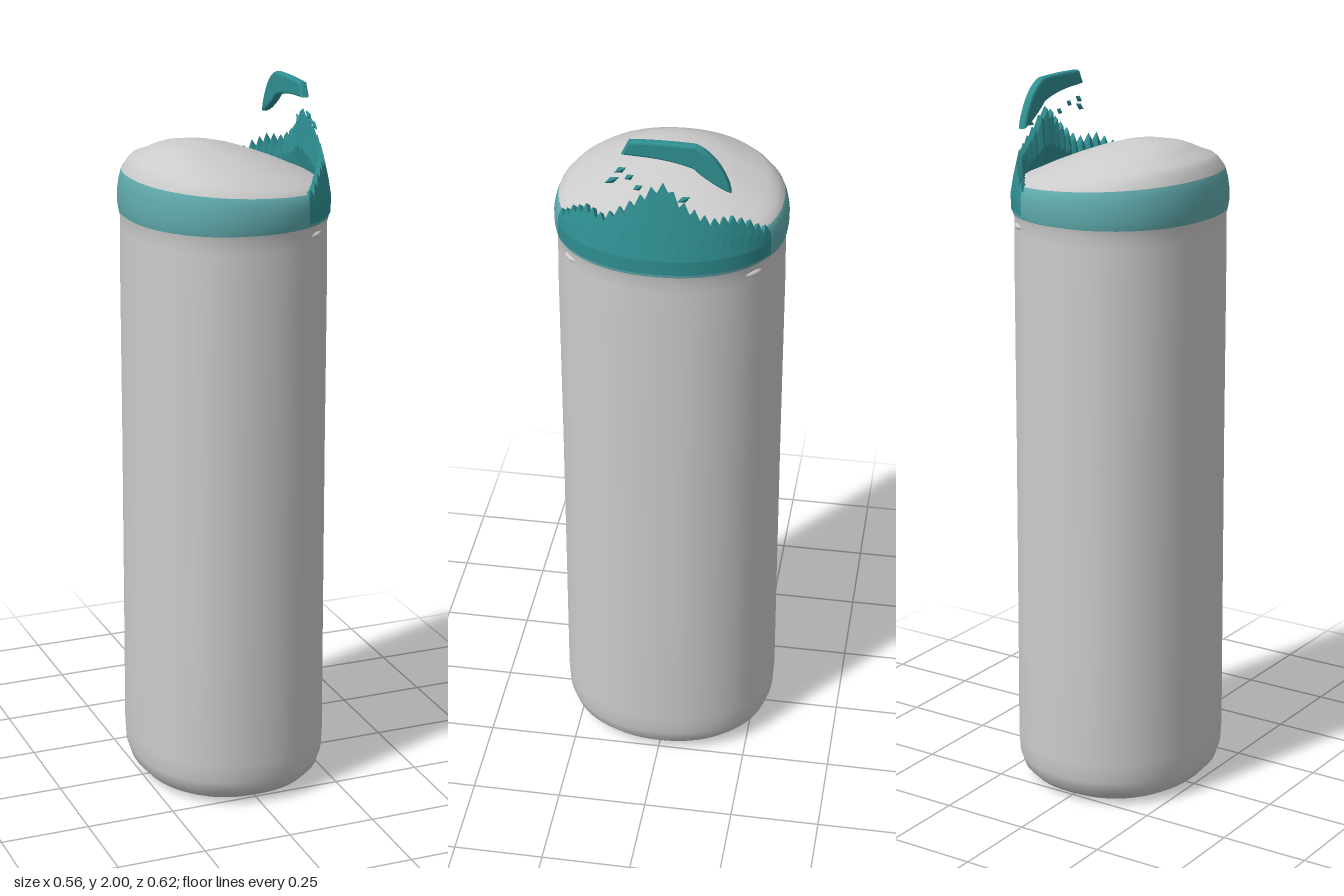
import * as THREE from 'three';

const RX = 0.28, RZ = 0.31, SEG = 64;
const grey = () => new THREE.MeshStandardMaterial({ color: 0xcccccc });
const tint = (color, extra = {}) => new THREE.MeshStandardMaterial({ color, ...extra });

// Point on the slightly squared oval cross-section
function oval(a, s, y, cx = 0, tilt = 0) {
  const p = 2 / 2.15, c = Math.cos(a), n = Math.sin(a);
  const x = cx + RX * s * Math.sign(c) * Math.abs(c) ** p;
  return [x, y - tilt * x, RZ * s * Math.sign(n) * Math.abs(n) ** p];
}

// Grid of rows x columns turned into a surface
function gridGeometry(rows, cols, closed, point) {
  const pos = [], idx = [];
  for (let r = 0; r < rows; r++) for (let c = 0; c < cols; c++) pos.push(...point(r, c));
  for (let r = 0; r < rows - 1; r++) {
    for (let c = 0; c < (closed ? cols : cols - 1); c++) {
      const a = r * cols + c, b = r * cols + (c + 1) % cols;
      idx.push(a, a + cols, b, b, a + cols, b + cols);
    }
  }
  const g = new THREE.BufferGeometry();
  g.setAttribute('position', new THREE.Float32BufferAttribute(pos, 3));
  g.setIndex(idx);
  g.computeVertexNormals();
  return g;
}

export function createModel() {
  const group = new THREE.Group();
  const add = (name, geometry, material) => {
    const m = new THREE.Mesh(geometry, material);
    m.name = name;
    group.add(m);
    return m;
  };

  // Bottle rings: scale, height, x offset, tilt toward +x
  const rings = [
    [0, 0.02], [0.66, 0.02], [0.7, 0.005], [0.77, 0], [0.86, 0.015], [0.94, 0.04], [0.98, 0.075],
    [0.99, 0.13], [0.985, 0.5], [0.98, 1.0], [0.98, 1.5], [0.975, 1.6], [0.975, 1.63],
    [0.99, 1.65], [1, 1.67], [1, 1.7], [0.985, 1.725, 0, 0.03], [0.96, 1.745, 0, 0.06],
    [0.9, 1.763, 0, 0.1], [0.82, 1.776, -0.01, 0.11], [0.7, 1.79, -0.02, 0.1],
    [0.55, 1.808, -0.04, 0.09], [0.4, 1.824, -0.06, 0.07], [0.22, 1.838, -0.075, 0.04],
    [0.1, 1.845, -0.08, 0], [0, 1.847, -0.08, 0],
  ];
  const bottle = gridGeometry(rings.length, SEG, true,
    (r, c) => oval(c / SEG * Math.PI * 2, ...rings[r]));
  const slice = (from, to) => {
    const g = bottle.clone();
    g.setIndex(Array.from(bottle.index.array.slice(from * SEG * 6, to * SEG * 6)));
    return g;
  };
  add('body', slice(0, 13), grey());
  add('shoulderBand', slice(13, 17), tint(0x5fa9ab));
  add('domedLid', slice(17, rings.length - 1), grey());

  // Ragged collar rising on the +x side: outer wall, torn rim, inner wall
  const zs = [-0.27, -0.24, -0.2, -0.15, -0.11, -0.06, -0.03, 0.01, 0.05, 0.1, 0.15, 0.2, 0.24, 0.27];
  const hs = [1.74, 1.775, 1.8, 1.8, 1.825, 1.86, 1.9, 1.89, 1.86, 1.825, 1.79, 1.8, 1.775, 1.74];
  const height = z => {
    let i = 0;
    while (i < zs.length - 2 && z > zs[i + 1]) i++;
    const t = THREE.MathUtils.clamp((z - zs[i]) / (zs[i + 1] - zs[i]), 0, 1);
    return THREE.MathUtils.lerp(hs[i], hs[i + 1], t);
  };
  const COLS = 49;
  const collar = gridGeometry(7, COLS, false, (r, c) => {
    const a = (c / (COLS - 1) - 0.5) * 2.2;
    const top = height(oval(a, 1, 0)[2]) + (c % 2 ? 0.012 : -0.012);
    const lean = 1 - (top - 1.72) * 0.75;
    const profile = [
      [1.004, 1.66], [1.008, 1.7], [(1.01 + lean) / 2, (1.71 + top) / 2], [lean, top],
      [lean - 0.04, top - 0.01], [lean - 0.06, (1.71 + top) / 2], [0.89, 1.71],
    ];
    return oval(a, ...profile[r]);
  });
  add('raggedCollar', collar, tint(0x2f8f92, { flatShading: true, side: THREE.DoubleSide }));

  // Broken carry loop above the collar, drawn as a thin crescent in the z-y plane
  const shape = new THREE.Shape();
  shape.moveTo(0.09, 1.965);
  shape.lineTo(0.075, 1.993);
  shape.quadraticCurveTo(0, 1.998, -0.09, 1.994);
  shape.quadraticCurveTo(-0.15, 1.97, -0.178, 1.88);
  shape.quadraticCurveTo(-0.12, 1.91, -0.09, 1.94);
  shape.quadraticCurveTo(-0.02, 1.965, 0.09, 1.965);
  const loop = new THREE.ExtrudeGeometry(shape, {
    depth: 0.012, bevelEnabled: true, bevelSize: 0.006, bevelThickness: 0.006, bevelSegments: 2, curveSegments: 12,
  });
  loop.rotateY(-Math.PI / 2);
  loop.translate(0.204, 0, 0);
  add('carryLoop', loop, tint(0x2f8f92));

  // Loose splinters trailing off the loop
  [[0.215, 1.89, 0.12, 0.022], [0.205, 1.915, 0.1, 0.018], [0.22, 1.905, 0.075, 0.014],
   [0.235, 1.885, 0.05, 0.014], [0.25, 1.87, -0.07, 0.02]].forEach(([x, y, z, l]) => {
    const s = add('splinter', new THREE.OctahedronGeometry(1), tint(0x2f8f92, { flatShading: true }));
    s.scale.set(0.005, 0.009, l);
    s.position.set(x, y, z);
    s.rotation.x = 0.5;
  });

  // Small pinched nicks under the shoulder
  [-1, 1].forEach(side => {
    const n = add('shoulderNick', new THREE.SphereGeometry(1, 10, 8), grey());
    n.scale.set(0.03, 0.009, 0.012);
    n.position.set(0.17, 1.622, side * 0.238);
    n.rotation.y = side * 0.75;
  });
  return group;
}
